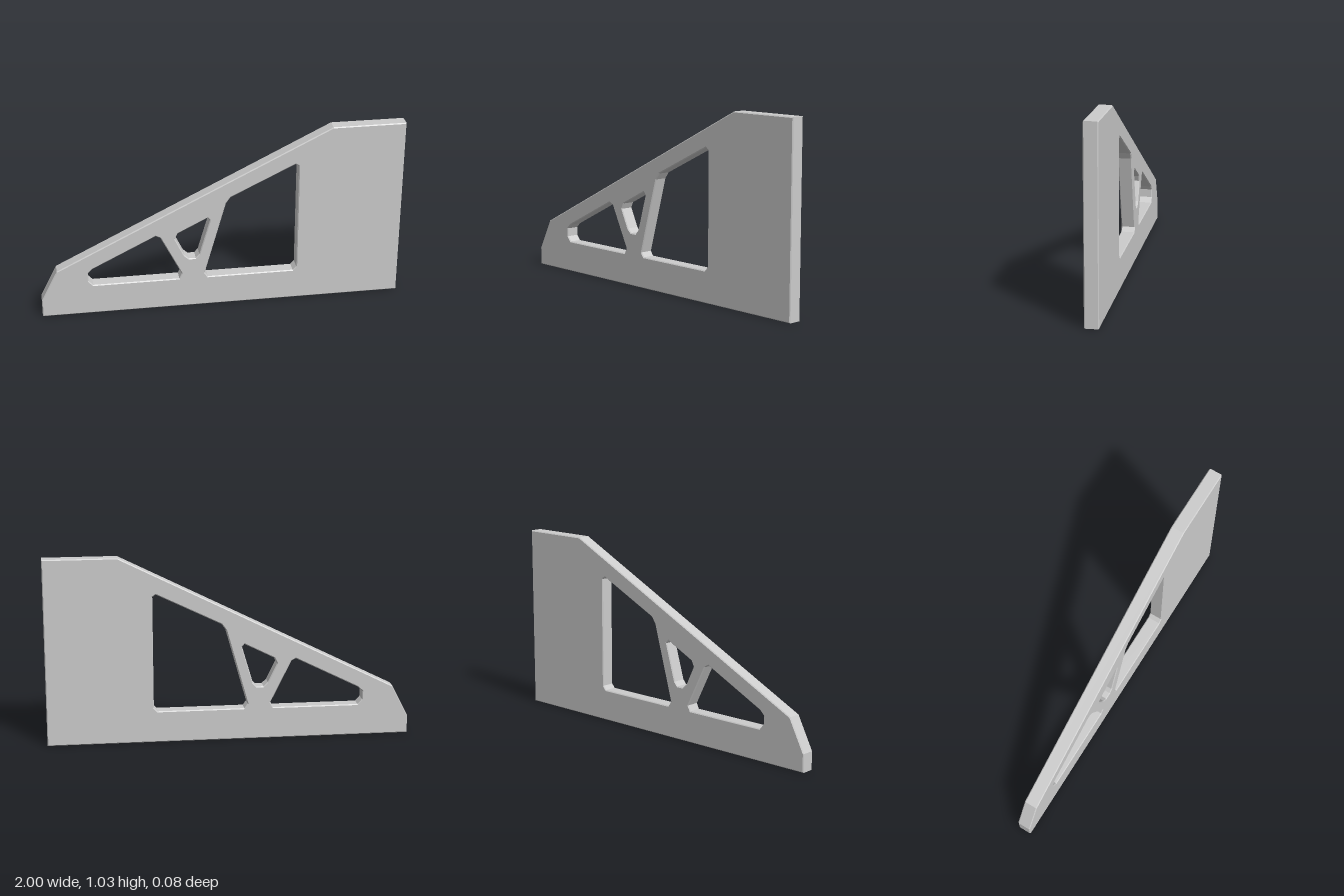
import * as THREE from 'three';

const DEPTH = 0.076;
const BEVEL = 0.005;

const toPoints = (pairs) => pairs.map(([x, y]) => new THREE.Vector2(x, y));

export function createModel() {
  const group = new THREE.Group();
  const material = new THREE.MeshStandardMaterial({ color: 0xcccccc, flatShading: true });

  // Tapered bracket outline
  const outline = new THREE.Shape(toPoints([
    [-1, 0], [1, 0], [1, 1.03], [0.6, 1.03], [-0.91, 0.275], [-1, 0.1],
  ]));

  // Truss openings with clipped corners
  const openings = [
    // low opening near the tip
    [[-0.74, 0.25], [-0.715, 0.275], [-0.365, 0.45], [-0.34, 0.437],
      [-0.225, 0.205], [-0.24, 0.175], [-0.715, 0.175], [-0.74, 0.203]],
    // small opening between the struts
    [[-0.26, 0.425], [-0.245, 0.457], [-0.08, 0.54], [-0.067, 0.525],
      [-0.127, 0.32], [-0.147, 0.297], [-0.185, 0.297], [-0.21, 0.32]],
    // tall opening beside the solid end
    [[-0.098, 0.2], [0.02, 0.62], [0.045, 0.655], [0.4, 0.828],
      [0.418, 0.815], [0.418, 0.197], [0.398, 0.175], [-0.08, 0.175]],
  ];
  for (const pairs of openings) outline.holes.push(new THREE.Path(toPoints(pairs)));

  // Plate with a fine chamfer on every edge, centred on z
  const geometry = new THREE.ExtrudeGeometry(outline, {
    depth: DEPTH - 2 * BEVEL,
    bevelEnabled: true,
    bevelThickness: BEVEL,
    bevelSize: BEVEL,
    bevelOffset: -BEVEL,
    bevelSegments: 1,
  });
  geometry.translate(0, 0, -DEPTH / 2 + BEVEL);

  const plate = new THREE.Mesh(geometry, material);
  plate.name = 'bracketPlate';
  group.add(plate);
  return group;
}
